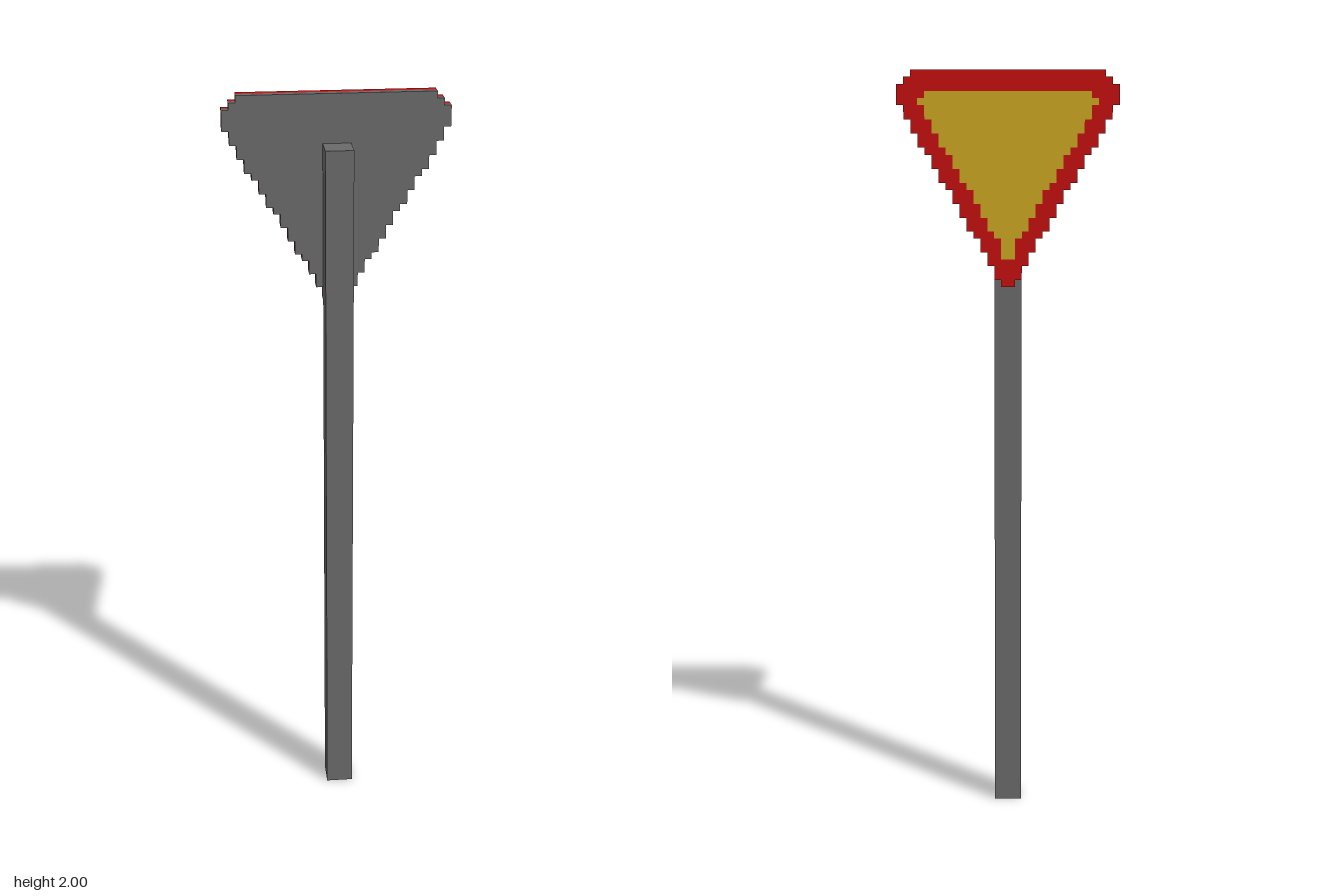
import * as THREE from 'three';

const V = 2 / 111; // size of one block step

const steel = new THREE.MeshStandardMaterial({ name: 'steelGrey', color: 0x6a6a6a });
const red = new THREE.MeshStandardMaterial({ name: 'signRed', color: 0xc41010 });
const yellow = new THREE.MeshStandardMaterial({ name: 'signYellow', color: 0xcca622 });

// Half width, in steps, of each row of the rounded triangle, counted from the top
function plateHalf(row) {
  if (row < 2) return 14 + row;
  if (row < 5) return 16;
  return Math.round(16 - (row - 4) * Math.tan(Math.PI / 6));
}

function panelHalf(row) {
  if (row === 3) return 12;
  return Math.max(1, plateHalf(row) - 3);
}

// Mirrored, stair-stepped outline between two rows
function steppedPoints(half, first, last) {
  const right = [];
  for (let r = first; r <= last; r++) {
    const x = half(r) * V;
    right.push(new THREE.Vector2(x, 2 - r * V), new THREE.Vector2(x, 2 - (r + 1) * V));
  }
  const left = right.map((p) => new THREE.Vector2(-p.x, p.y)).reverse();
  // drop repeated corners between rows of equal width
  return [...right, ...left].filter((p, i, a) => i === 0 || !p.equals(a[i - 1]));
}

// One-step-thick slab starting at depth z
function slab(name, shape, z, material) {
  const geometry = new THREE.ExtrudeGeometry(shape, { depth: V, bevelEnabled: false });
  geometry.translate(0, 0, z);
  const mesh = new THREE.Mesh(geometry, material);
  mesh.name = name;
  return mesh;
}

export function createModel() {
  const model = new THREE.Group();
  model.name = 'roadSign';

  // Square post
  const postHeight = 104 * V;
  const post = new THREE.Mesh(new THREE.BoxGeometry(4 * V, postHeight, 4 * V), steel);
  post.name = 'post';
  post.position.set(0, postHeight / 2, V);
  model.add(post);

  // Triangular sign: grey backing, red border, yellow panel set flush into it
  const outline = steppedPoints(plateHalf, 0, 30);
  const inner = steppedPoints(panelHalf, 3, 26);
  const border = new THREE.Shape(outline);
  border.holes.push(new THREE.Path(inner));

  model.add(
    slab('signBacking', new THREE.Shape(outline), -2 * V, steel),
    slab('signBorder', border, -3 * V, red),
    slab('signPanel', new THREE.Shape(inner), -3 * V, yellow)
  );
  return model;
}
